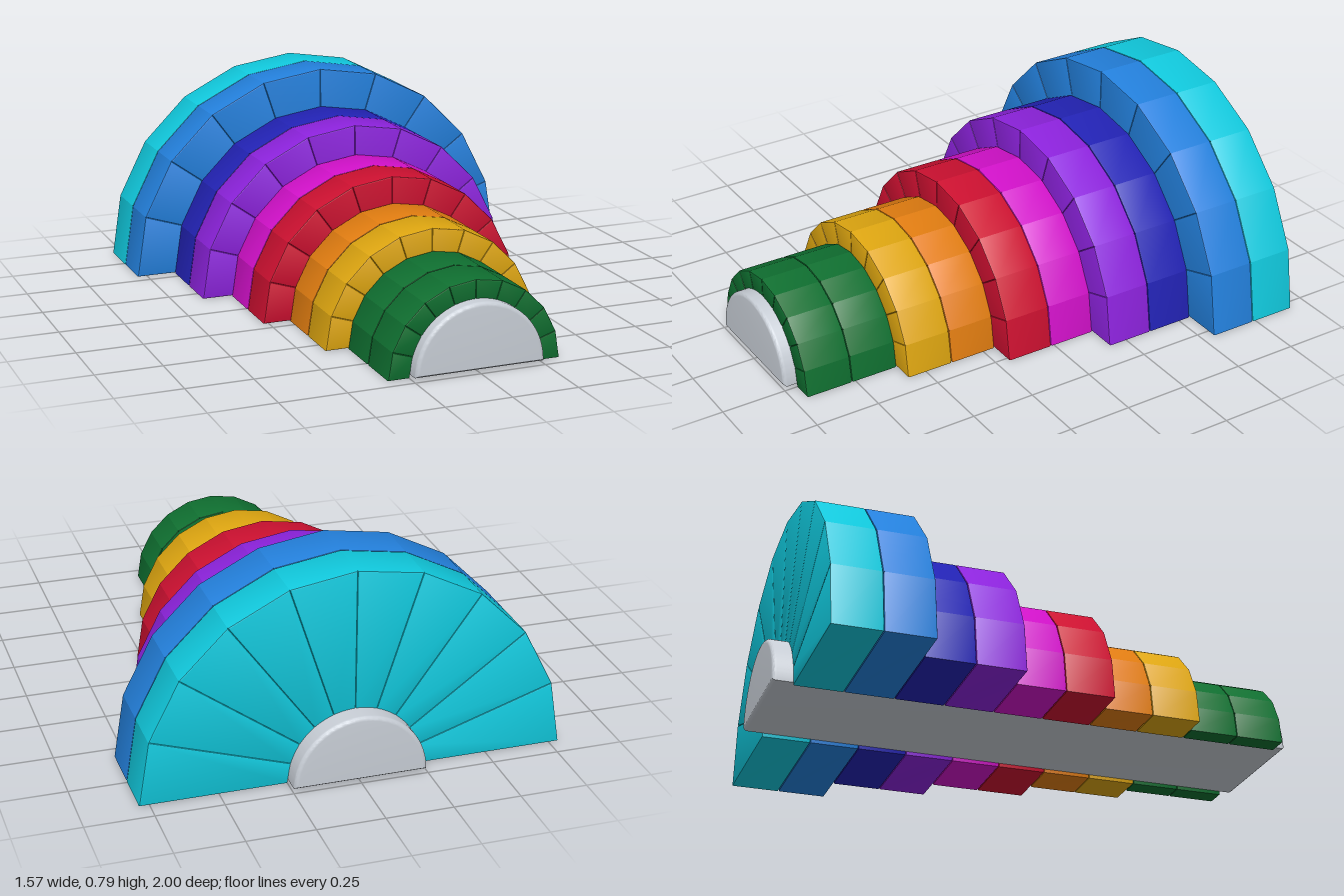
import * as THREE from 'three';
import { toCreasedNormals } from 'three/addons/utils/BufferGeometryUtils.js';

const SEGMENTS = 10;
const STEP = Math.PI / SEGMENTS;
const CORE_RADIUS = 0.247;
const FRONT_Z = 0.951;
const DEPTH = 0.1876;

// Extrude a shape along z with rounded edges, keeping its full size inside the outline.
function roundedExtrude(shape, depth, bevel, bevelSegments, curveSegments) {
  const geo = new THREE.ExtrudeGeometry(shape, {
    depth: depth - 2 * bevel, bevelEnabled: true, bevelSize: bevel,
    bevelThickness: bevel, bevelOffset: -bevel, bevelSegments, curveSegments,
  });
  geo.translate(0, 0, bevel - depth / 2);
  return geo;
}

// One straight-sided wedge block, starting at angle 0.
function wedgeGeometry(radius) {
  const c = Math.cos(STEP), s = Math.sin(STEP), r = 0.25;
  const shape = new THREE.Shape([
    new THREE.Vector2(r, 0),
    new THREE.Vector2(radius, 0),
    new THREE.Vector2(radius * c, radius * s),
    new THREE.Vector2(r * c, r * s),
  ]);
  return toCreasedNormals(roundedExtrude(shape, DEPTH - 0.001, 0.005, 2, 1), 0.6);
}

function material(name, color) {
  const m = new THREE.MeshStandardMaterial({ color });
  m.name = name;
  return m;
}

export function createModel() {
  const model = new THREE.Group();
  model.name = 'rainbowArchStack';

  const green = material('green', 0x0f6f30);
  const rings = [
    [0.33, green], [0.33, green],
    [0.415, material('gold', 0xdda510)], [0.415, material('orange', 0xe07c10)],
    [0.518, material('red', 0xcc1030)], [0.518, material('magenta', 0xd010c8)],
    [0.634, material('purple', 0x8c22dc)], [0.634, material('navy', 0x2222b4)],
    [0.787, material('blue', 0x2380dc)], [0.787, material('cyan', 0x10c8dc)],
  ];

  // Half-round core bar running the full length
  const half = new THREE.Shape();
  half.absarc(0, 0, CORE_RADIUS, 0, Math.PI, false);
  half.closePath();
  const core = new THREE.Mesh(
    toCreasedNormals(roundedExtrude(half, 2, 0.015, 4, 48), 0.7),
    material('lightGrey', 0xc6ccd4));
  core.name = 'core';
  core.position.y = 0.013;
  model.add(core);

  // Half rings of wedge blocks, growing from front to back
  rings.forEach(([radius, mat], i) => {
    const ring = new THREE.Group();
    ring.name = `${mat.name}Ring${i + 1}`;
    ring.position.z = FRONT_Z - DEPTH * (i + 0.5);
    const geo = wedgeGeometry(radius);
    for (let k = 0; k < SEGMENTS; k++) {
      const block = new THREE.Mesh(geo, mat);
      block.name = `${mat.name}Block`;
      block.rotation.z = k * STEP;
      ring.add(block);
    }
    model.add(ring);
  });

  return model;
}
